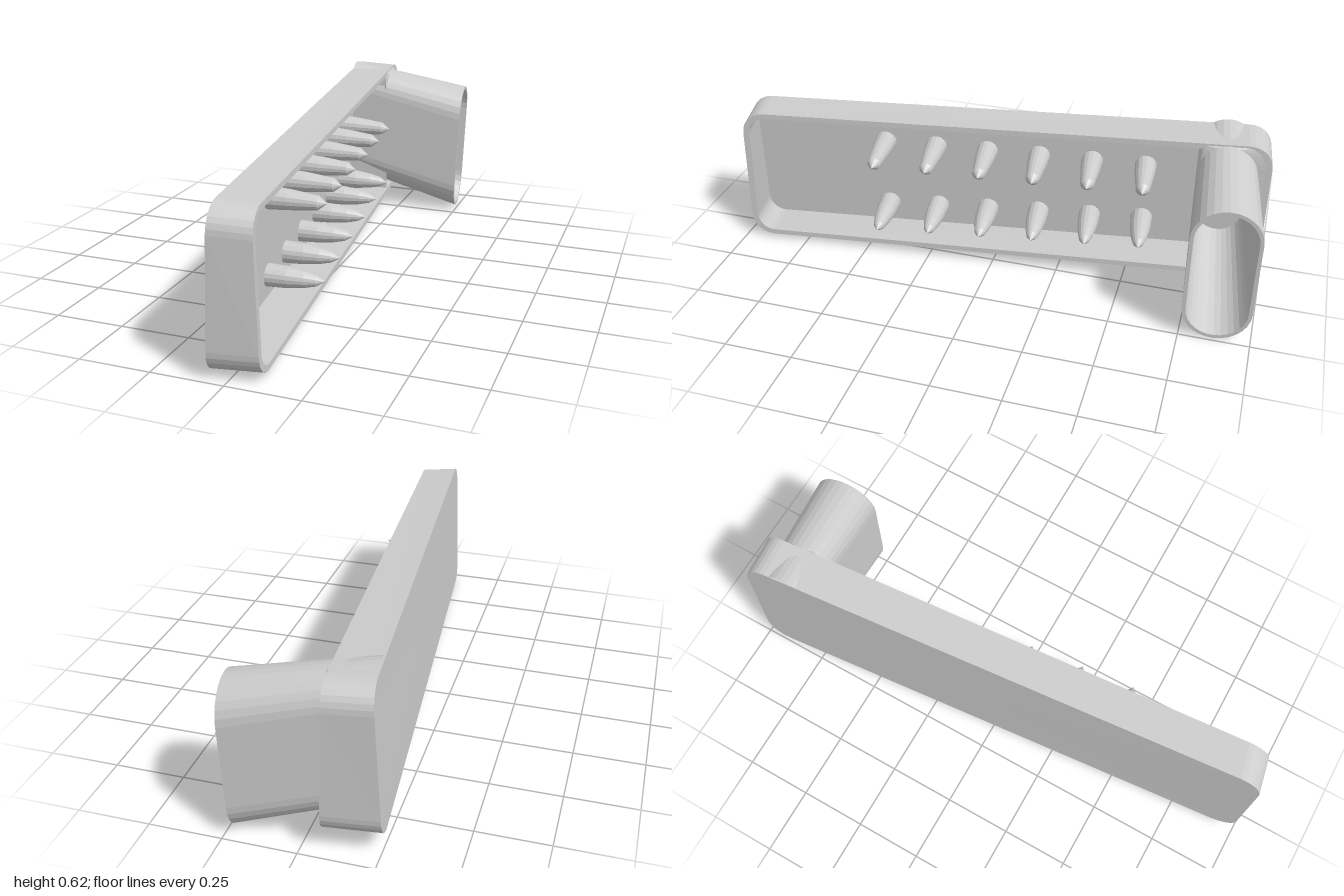
import * as THREE from 'three';

const V = (x, y, z) => new THREE.Vector3(x, y, z);
const CORNER_STEPS = 7;

// Rounded rectangle outline, counter-clockwise, the same point count for any size
function roundedRect(u0, u1, v0, v1, rStart, rEnd = rStart) {
  const pts = [];
  const corners = [[u1 - rEnd, v1 - rEnd, rEnd], [u0 + rStart, v1 - rStart, rStart],
    [u0 + rStart, v0 + rStart, rStart], [u1 - rEnd, v0 + rEnd, rEnd]];
  corners.forEach(([cu, cv, r], k) => {
    for (let i = 0; i <= CORNER_STEPS; i++) {
      const a = (k + i / CORNER_STEPS) * Math.PI / 2;
      pts.push([cu + r * Math.cos(a), cv + r * Math.sin(a)]);
    }
  });
  return pts;
}

// Faceted skin through a series of rings
function loft(rings) {
  const pos = [];
  const tri = (a, b, c) => {
    if (b.clone().sub(a).cross(c.clone().sub(a)).lengthSq() < 1e-16) return;
    for (const p of [a, b, c]) pos.push(p.x, p.y, p.z);
  };
  for (let r = 0; r < rings.length - 1; r++) {
    const A = rings[r], B = rings[r + 1], n = A.length;
    for (let i = 0; i < n; i++) {
      const j = (i + 1) % n;
      tri(A[i], A[j], B[j]);
      tri(A[i], B[j], B[i]);
    }
  }
  const g = new THREE.BufferGeometry();
  g.setAttribute('position', new THREE.Float32BufferAttribute(pos, 3));
  g.computeVertexNormals();
  return g;
}

// Ring collapsed to its centre, to cap a loft
function collapse(ring) {
  const c = ring.reduce((s, p) => s.add(p), V(0, 0, 0)).divideScalar(ring.length);
  return ring.map(() => c);
}

// Tray space: u along the length, v up, w from back (0) to open front (1)
const L = 1.96, H = 0.54;
const BACK = [V(-0.062, 0.013, 0.995), V(-0.262, 0.07, -0.965), V(-0.043, 0.555, 0.99), V(-0.237, 0.615, -0.97)];
const FRONT = [V(0.106, 0.016, 0.97), V(-0.07, 0.07, -0.988), V(0.09, 0.545, 0.965), V(-0.085, 0.608, -0.985)];
function trayPoint(u, v, w) {
  const on = (c) => c[0].clone().lerp(c[1], u / L).lerp(c[2].clone().lerp(c[3], u / L), v / H);
  return on(BACK).lerp(on(FRONT), w);
}
const trayRing = (outline, w) => outline.map(([u, v]) => trayPoint(u, v, w));

// Spout section: f = 0 at the root in the tray, f = 1 at the mouth
function spoutRing(f, inset = 0) {
  const mix = (a, b) => a + (b - a) * f;
  const hw = mix(0.096, 0.12) - inset;
  const cz = mix(-0.815, -0.874);
  const y0 = mix(0.148, 0.002) + inset, y1 = mix(0.627, 0.537) - inset;
  return roundedRect(-hw, hw, y0, y1, hw).map(([u, y]) => {
    const z = cz - u;
    return V(mix(-0.238, 0.236) + 0.038 * (y - y0 + inset) + 0.1 * (z - cz), y, z);
  });
}

export function createModel() {
  const model = new THREE.Group();
  model.name = 'pegTrayWithSpout';
  const grey = new THREE.MeshStandardMaterial({ color: 0xcccccc });
  grey.name = 'grey';
  const add = (name, geometry, parent = model) => {
    const mesh = new THREE.Mesh(geometry, grey);
    mesh.name = name;
    parent.add(mesh);
    return mesh;
  };

  // Open tray with a solid back
  const outer = roundedRect(0, L, 0, H, 0.085);
  const inner = roundedRect(0.024, L - 0.024, 0.02, H - 0.02, 0.065);
  const back = trayRing(outer, 0), floor = trayRing(inner, 0.1);
  add('tray', loft([collapse(back), back, trayRing(outer, 1), trayRing(inner, 1), floor, collapse(floor)]));

  // Closed end block, pierced by the spout
  const block = roundedRect(1.715, L - 0.006, 0.006, H - 0.006, 0.003, 0.08);
  add('endBlock', loft([trayRing(block, 0.08), trayRing(block, 0.985), spoutRing(0.33, 0.004)]));

  // Hollow oval spout
  const root = spoutRing(0.03, 0.013);
  add('spout', loft([spoutRing(0), spoutRing(1), spoutRing(1, 0.013), root, collapse(root)]));

  // Two rows of pegs
  const peg = (profile) => {
    const g = new THREE.LatheGeometry(profile.map(([r, y]) => new THREE.Vector2(r, y)), 16).toNonIndexed();
    g.computeVertexNormals();
    return g;
  };
  const upperPeg = peg([[0.041, 0], [0.036, 0.08], [0.025, 0.18], [0, 0.211]]);
  const lowerPeg = peg([[0.041, 0], [0.038, 0.08], [0.03, 0.14], [0.02, 0.18], [0, 0.211]]);
  const pegs = new THREE.Group();
  pegs.name = 'pegs';
  model.add(pegs);
  const direction = V(1, -0.03, -0.1).normalize();
  for (let i = 0; i < 6; i++) {
    const z = 0.456 - 0.198 * i;
    for (const [name, g, y] of [['upperPeg', upperPeg, 0.412], ['lowerPeg', lowerPeg, 0.132 + 0.009 * i]]) {
      const m = add(name, g, pegs);
      m.position.set(-0.051 - 0.2 * (0.995 - z) / L + 0.03 * y, y, z);
      m.quaternion.setFromUnitVectors(V(0, 1, 0), direction);
    }
  }
  return model;
}
